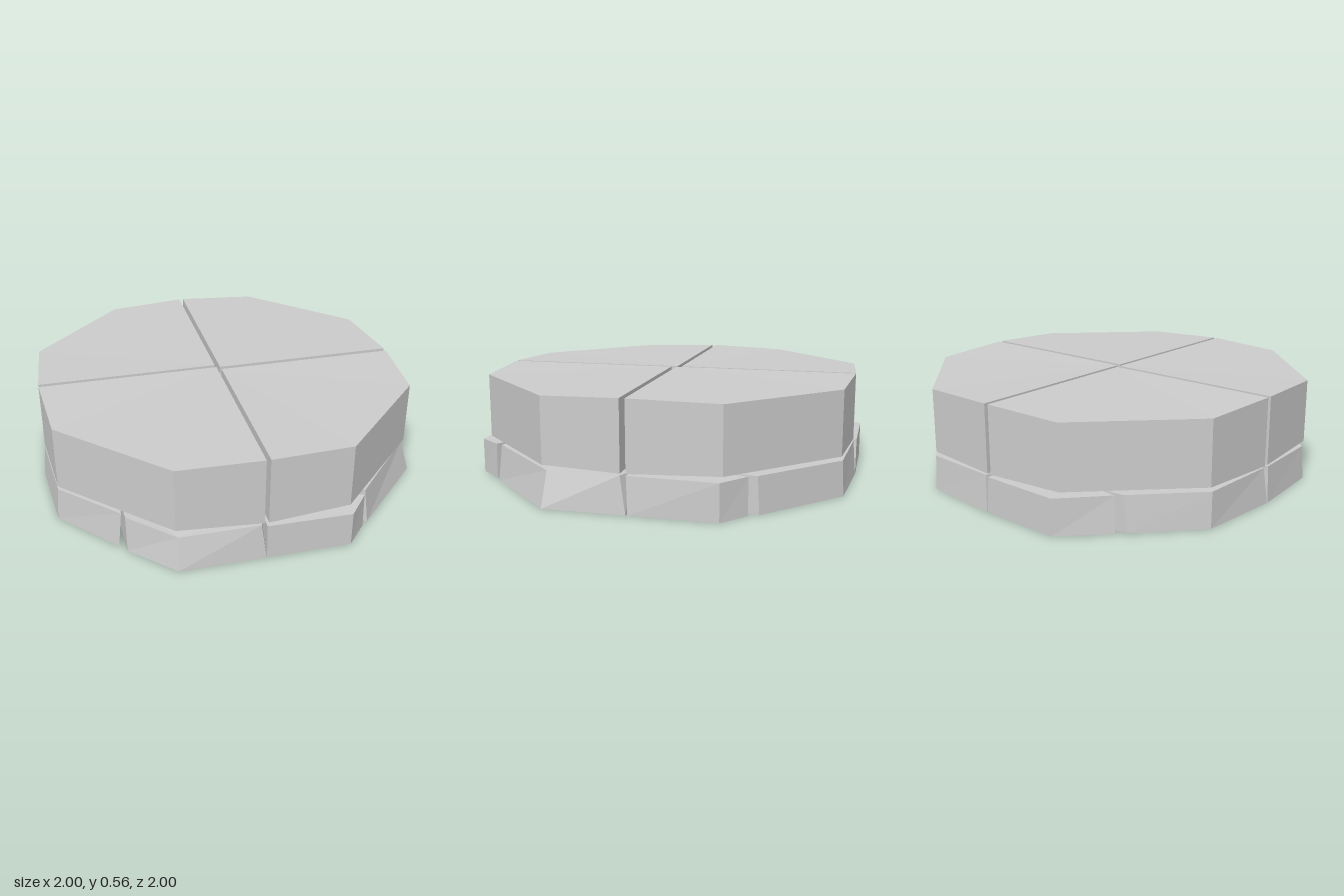
import * as THREE from 'three';

const material = new THREE.MeshStandardMaterial({ color: 0xcccccc, flatShading: true });

// Closed stone from two matching rings of [x, y, z], counter-clockwise seen from above.
// The caps are fans around the first corner.
function stone(name, bottom, top) {
  const pos = [];
  const tri = (a, b, c) => pos.push(...a, ...b, ...c);
  const n = top.length;
  for (let i = 0; i < n; i++) {
    const j = (i + 1) % n;
    tri(bottom[i], bottom[j], top[j]);
    tri(bottom[i], top[j], top[i]);
    if (i > 0 && j > 0) {
      tri(top[0], top[i], top[j]);
      tri(bottom[0], bottom[j], bottom[i]);
    }
  }
  const geometry = new THREE.BufferGeometry();
  geometry.setAttribute('position', new THREE.Float32BufferAttribute(pos, 3));
  geometry.computeVertexNormals();
  const mesh = new THREE.Mesh(geometry, material);
  mesh.name = name;
  return mesh;
}

// Inner joints of the base ring [x, z], counter-clockwise from +x
const joints = [[0.88, 0], [0.83, -0.41], [0, -0.88], [-0.52, -0.77],
  [-0.88, 0], [-0.66, 0.57], [0, 0.88], [0.43, 0.8]];

// Outer corners of each base block as [bottom x, bottom z, top x, top z]:
// octagon corner, end joint, start joint; then the height at the corner
const blocks = [
  [[1, -0.44, 1, -0.44], [0.87, -0.55, 0.86, -0.55], [1, 0, 0.985, 0.01], 0.19],
  [[0.44, -0.965, 0.44, -0.955], [0.005, -1, 0.02, -0.985], [0.84, -0.6, 0.84, -0.59], 0.185],
  [[-0.44, -1, -0.44, -1], [-0.65, -0.79, -0.64, -0.78], [0, -1, -0.015, -1], 0.19],
  [[-0.96, -0.45, -0.955, -0.44], [-1, -0.005, -0.98, -0.02], [-0.69, -0.75, -0.67, -0.75], 0.185],
  [[-0.965, 0.43, -0.95, 0.43], [-0.69, 0.74, -0.67, 0.73], [-1, 0, -0.985, 0.015], 0.18],
  [[-0.44, 1, -0.43, 0.965], [0, 1, -0.025, 0.985], [-0.655, 0.785, -0.655, 0.765], 0.175],
  [[0.44, 1, 0.44, 1], [0.555, 0.87, 0.55, 0.87], [0.002, 1, 0, 1], 0.185],
  [[1, 0.435, 0.95, 0.42], [1, 0.01, 0.985, 0.04], [0.59, 0.845, 0.57, 0.83], 0.18],
];

// Slabs: sign of x and z, then the gap to the z axis and to the x axis
const slabs = [
  [1, -1, 0.01, -0.012],
  [-1, -1, 0.014, 0.015],
  [-1, 1, 0.01, 0.01],
  [1, 1, 0.012, 0.04],
];

export function createModel() {
  const model = new THREE.Group();
  model.name = 'stonePlatform';

  // Base: open ring of eight worn blocks
  const base = new THREE.Group();
  base.name = 'baseRing';
  blocks.forEach(([corner, end, start, height], i) => {
    const inStart = joints[i], inEnd = joints[(i + 1) % 8];
    const ring = [corner, end, [...inEnd, ...inEnd], [...inStart, ...inStart], start];
    base.add(stone('baseBlock',
      ring.map((p) => [p[0], 0, p[1]]),
      ring.map((p, k) => [p[2], k === 0 ? height : 0.19, p[3]])));
  });
  model.add(base);

  // Upper layer: four quarter slabs, slightly domed above and below
  const upper = new THREE.Group();
  upper.name = 'upperSlabs';
  for (const [sx, sz, gx, gz] of slabs) {
    let outline = [[gx, gz, 0], [0.983, gz, 0], [0.95, 0.445, 1], [0.442, 0.95, 1], [gx, 0.983, 0]];
    if (sx * sz > 0) outline = [outline[0], ...outline.slice(1).reverse()];
    const level = (y, drop) => outline.map(([x, z, low]) => [sx * x, y + drop * low, sz * z]);
    upper.add(stone('quarterSlab', level(0.198, 0.008), level(0.558, -0.012)));
  }
  model.add(upper);

  return model;
}
